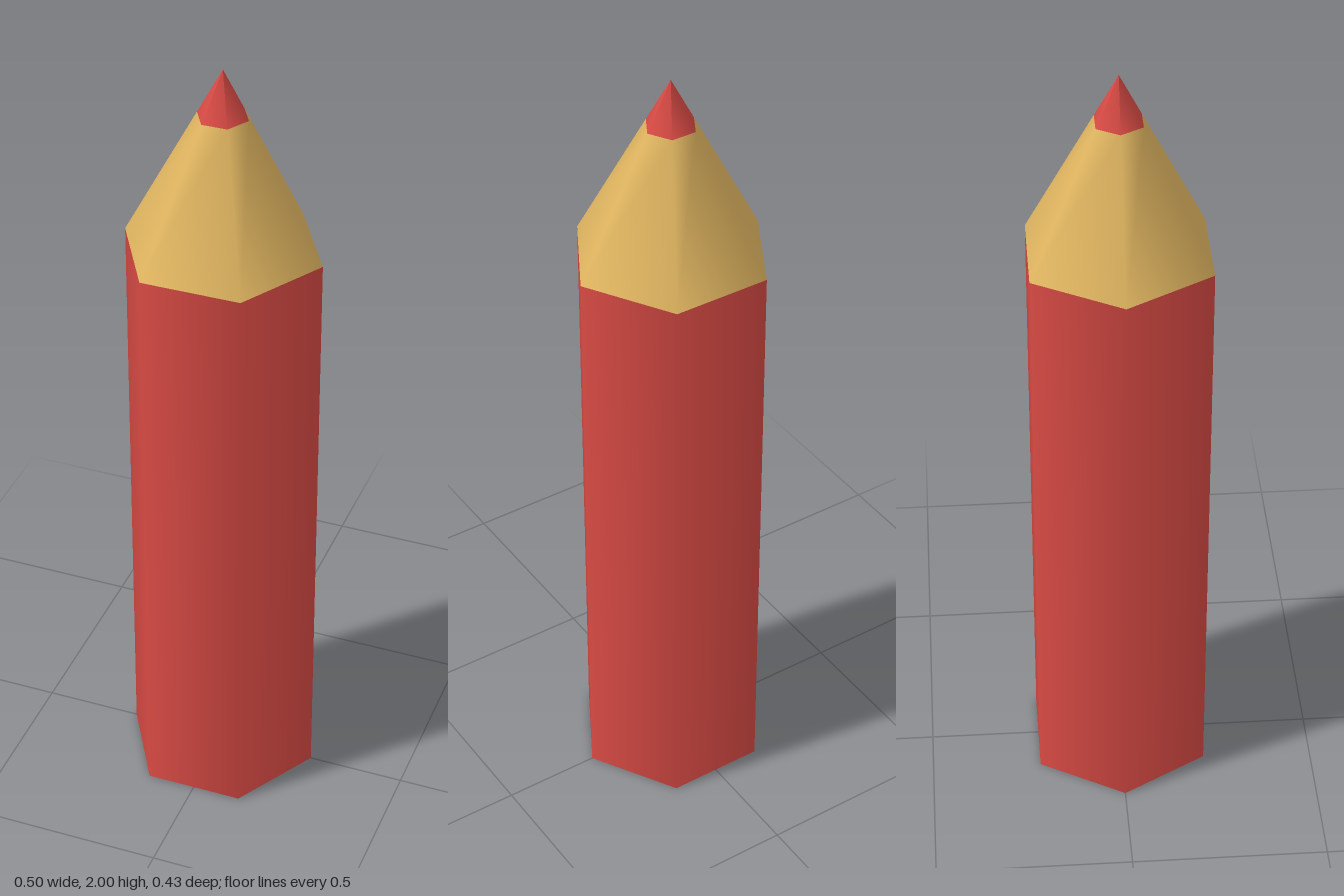
import * as THREE from 'three';

const SIDES = 6;
const RADIUS = 0.25;
const SHOULDER = 1.53; // top of the painted barrel
const TIP_START = 1.88; // where the coloured lead begins
const TOP = 2;
const TIP_RADIUS = RADIUS * (TOP - TIP_START) / (TOP - SHOULDER);

function createMaterial(name, color) {
  const material = new THREE.MeshStandardMaterial({ color });
  material.name = name;
  return material;
}

// Six-sided section with smooth normals and corners on the x axis
function section(name, y0, y1, r0, r1, material, open) {
  const geometry = new THREE.CylinderGeometry(r1, r0, y1 - y0, SIDES, 1, open, Math.PI / 2);
  const mesh = new THREE.Mesh(geometry, material);
  mesh.name = name;
  mesh.position.y = (y0 + y1) / 2;
  return mesh;
}

export function createModel() {
  const red = createMaterial('red', 0xd84a44);
  const wood = createMaterial('wood', 0xe0b560);

  const pencil = new THREE.Group();
  pencil.name = 'pencil';
  pencil.add(
    section('barrel', 0, SHOULDER, RADIUS, RADIUS, red, false),
    section('sharpenedWood', SHOULDER, TIP_START, RADIUS, TIP_RADIUS, wood, true),
    section('leadTip', TIP_START, TOP, TIP_RADIUS, 0, red, true),
  );
  return pencil;
}
